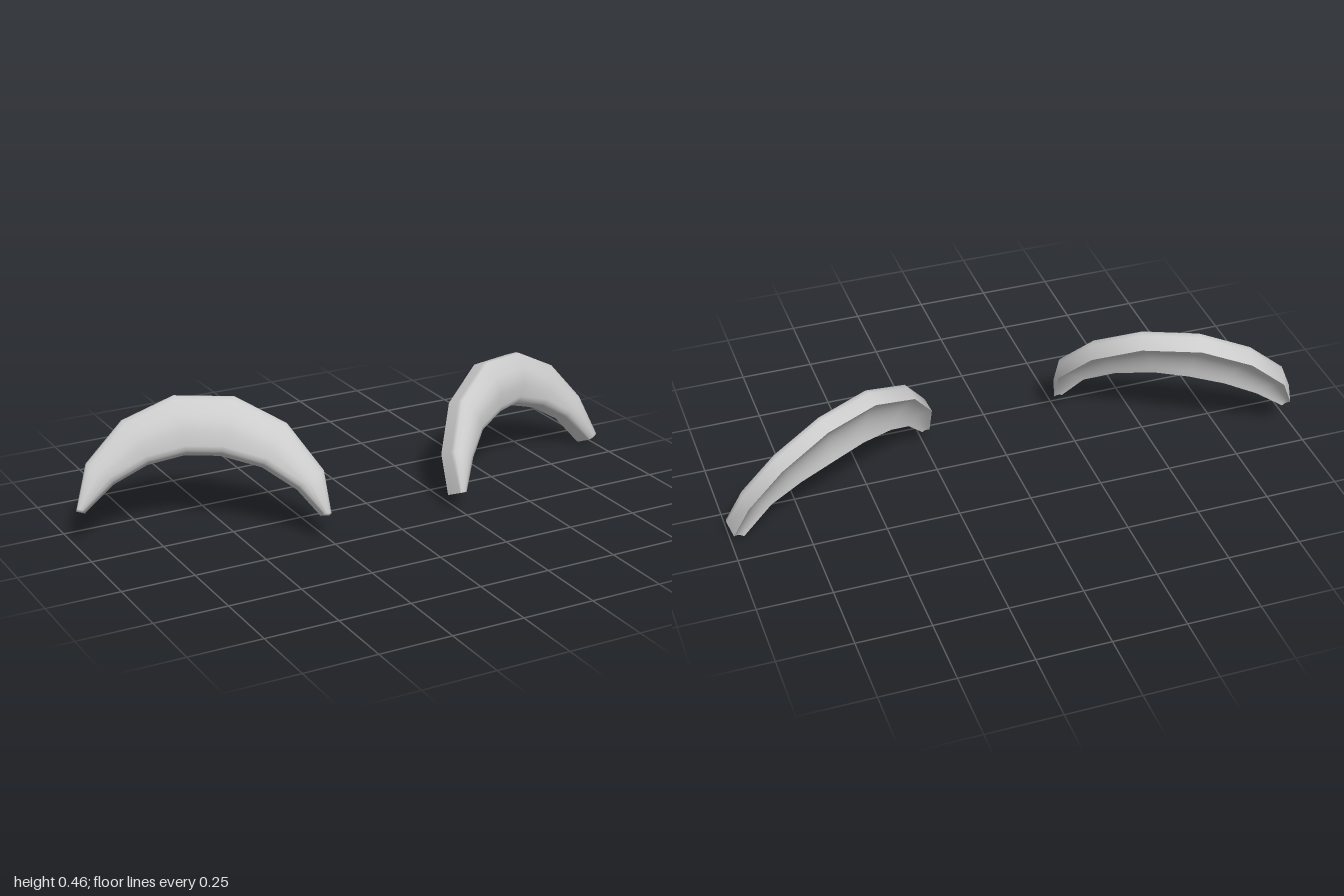
import * as THREE from 'three';
import { mergeGeometries, mergeVertices } from 'three/addons/utils/BufferGeometryUtils.js';

const V = (a) => new THREE.Vector3(...a);

// Surface through rows of points
function sheet(rows) {
  const n = rows[0].length, index = [];
  for (let i = 0; i < rows.length - 1; i++) {
    for (let j = 0; j < n - 1; j++) {
      const a = i * n + j, b = a + n;
      index.push(a, a + 1, b + 1, a, b + 1, b);
    }
  }
  return new THREE.BufferGeometry().setFromPoints(rows.flat()).setIndex(index);
}

// Joins sheets into one surface with smooth normals across their seams
function smooth(sheets) {
  const geo = mergeVertices(mergeGeometries(sheets), 1e-5);
  geo.computeVertexNormals();
  return geo;
}

// Bulging line of points from the upper to the lower edge
function bulgeLine(top, bottom, outward, count) {
  const bulge = 0.13 * top.distanceTo(bottom);
  return Array.from({ length: count }, (_, j) => {
    const t = j / (count - 1);
    return top.clone().lerp(bottom, t).addScaledVector(outward, bulge * 4 * t * (1 - t));
  });
}

// Three points rounding the corner at p between its neighbours a and b
function roundCorner(a, p, b, radius) {
  const from = p.clone().addScaledVector(a.clone().sub(p).normalize(), radius);
  const to = p.clone().addScaledVector(b.clone().sub(p).normalize(), radius);
  return new THREE.QuadraticBezierCurve3(from, p, to).getPoints(2);
}

// Arched plate: the front wraps smoothly over both rims and the ends, and
// meets the parallel hollow back in a sharp edge. Stations run towards +x.
function archGeometry(upper, lower, depth) {
  const offset = V(depth), outward = offset.clone().normalize().negate();
  const front = [], back = [];
  upper.forEach((u, i) => {
    const top = V(u), bottom = V(lower[i]);
    const backTop = top.clone().add(offset), backBottom = bottom.clone().add(offset);
    const radius = Math.min(0.02, 0.3 * top.distanceTo(bottom));
    const face = bulgeLine(top, bottom, outward, 7);
    const row = [
      backTop,
      ...roundCorner(backTop, top, face[3], radius),
      ...face.slice(2, 5),
      ...roundCorner(face[3], bottom, backBottom, radius),
      backBottom,
    ];
    front.push(row);
    back.push(bulgeLine(backTop, backBottom, outward, row.length));
  });
  const last = front.length - 1;
  return mergeGeometries([
    smooth([sheet(front), sheet([back[0], front[0]]), sheet([front[last], back[last]])]),
    smooth([sheet(back.map((row) => [...row].reverse()))]),
  ]);
}

const arches = [
  {
    name: 'rightBrow',
    upper: [[-1.003, 0.145, -0.105], [-0.942, 0.272, -0.165], [-0.806, 0.393, -0.18], [-0.635, 0.461, -0.145],
      [-0.455, 0.454, -0.06], [-0.32, 0.373, 0.052], [-0.247, 0.235, 0.172], [-0.257, 0.108, 0.24]],
    lower: [[-0.975, 0.134, -0.1], [-0.87, 0.213, -0.105], [-0.755, 0.268, -0.085], [-0.64, 0.295, -0.043],
      [-0.54, 0.295, 0.017], [-0.43, 0.263, 0.1], [-0.345, 0.198, 0.185], [-0.285, 0.112, 0.236]],
    depth: [0.02, -0.037, -0.062],
  },
  {
    name: 'leftBrow',
    upper: [[0.24, 0.075, 0.228], [0.248, 0.2, 0.165], [0.335, 0.338, 0.065], [0.495, 0.419, -0.035],
      [0.675, 0.404, -0.11], [0.841, 0.317, -0.15], [0.957, 0.181, -0.135], [1.003, 0.045, -0.085]],
    lower: [[0.266, 0.073, 0.224], [0.333, 0.16, 0.159], [0.415, 0.218, 0.083], [0.53, 0.243, 0.012],
      [0.64, 0.24, -0.046], [0.765, 0.2, -0.072], [0.87, 0.137, -0.076], [0.968, 0.028, -0.073]],
    depth: [-0.015, -0.028, -0.062],
  },
];

export function createModel() {
  const model = new THREE.Group();
  model.name = 'browPair';
  const material = new THREE.MeshStandardMaterial({ color: 0xcccccc });
  for (const { name, upper, lower, depth } of arches) {
    const mesh = new THREE.Mesh(archGeometry(upper, lower, depth), material);
    mesh.name = name;
    model.add(mesh);
  }
  return model;
}
